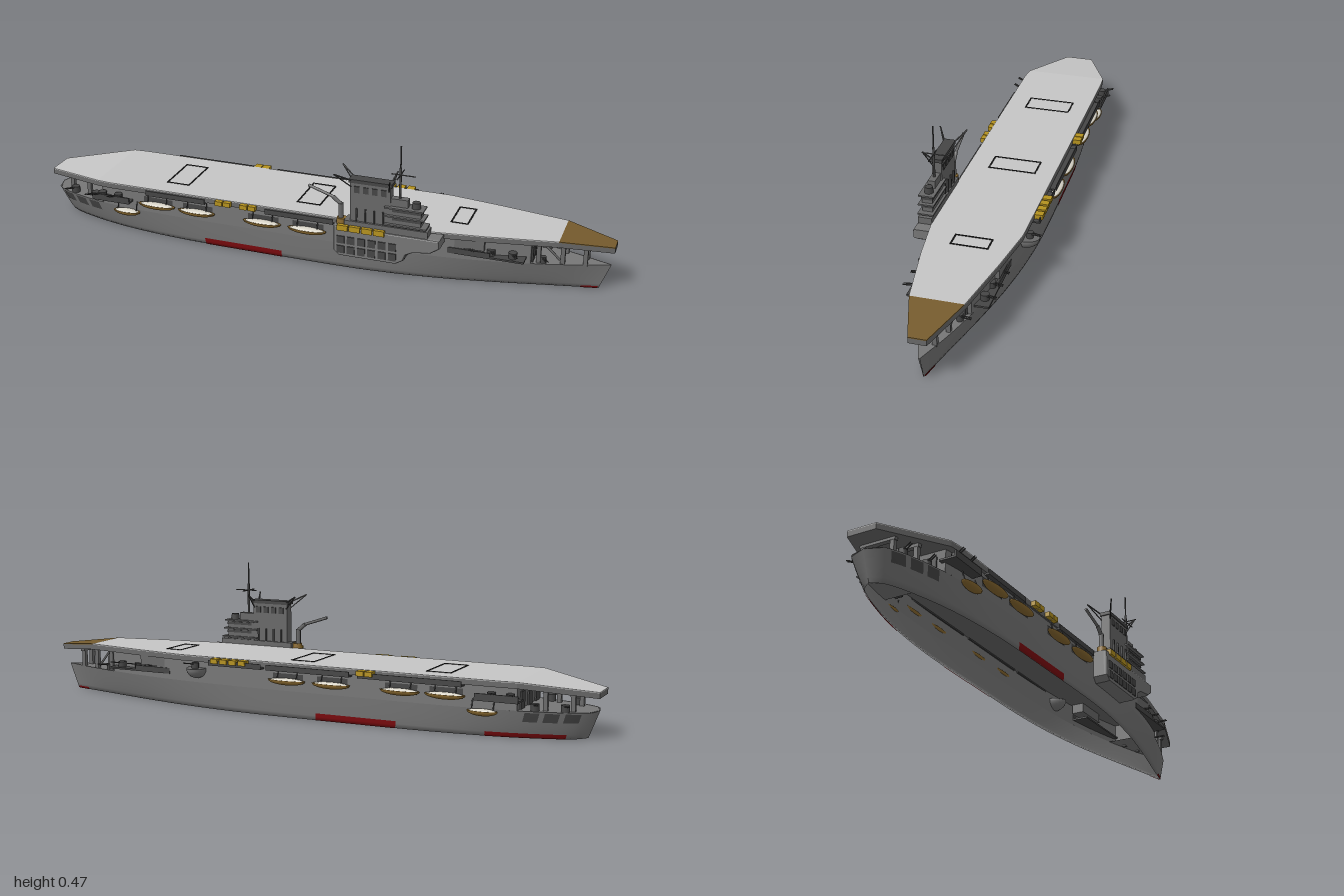
import * as THREE from 'three';
import { ParametricGeometry } from 'three/addons/geometries/ParametricGeometry.js';

const mat = (name, color, side = THREE.FrontSide) => {
  const m = new THREE.MeshStandardMaterial({ color, side });
  m.name = name;
  return m;
};
const M = {
  hull: mat('hull grey', 0x767676, THREE.DoubleSide),
  house: mat('structure grey', 0x686868),
  dark: mat('dark fittings', 0x454545),
  deck: mat('deck grey', 0xc6c6c6),
  bow: mat('bow brown', 0x755b2d),
  line: mat('line black', 0x141414),
  red: mat('dark red', 0x7d0a0e, THREE.DoubleSide),
  yellow: mat('raft yellow', 0xb5921f),
  boat: mat('boat tan', 0x8a6a30),
  white: mat('boat cover', 0xd8d4c8),
};
const CZ = -0.014, SHELF = 0.09, ROOF = 0.17;

// Hull stations: x, half width at waterline, half width at shelf height
const stations = new THREE.CatmullRomCurve3([
  [-0.99, 0, 0.0], [-0.98, 0.02, 0.045], [-0.94, 0.045, 0.072], [-0.86, 0.072, 0.1], [-0.72, 0.104, 0.128],
  [-0.5, 0.128, 0.142], [-0.2, 0.135, 0.144], [0.2, 0.134, 0.144], [0.45, 0.11, 0.13],
  [0.65, 0.074, 0.1], [0.85, 0.03, 0.05], [0.99, 0, 0.002],
].map(p => new THREE.Vector3(...p))).getPoints(120);

function hullPoint(x, y, side, out, target) {
  let i = 1;
  while (i < stations.length - 1 && stations[i].x < x) i++;
  const a = stations[i - 1], b = stations[i];
  const k = THREE.MathUtils.clamp((x - a.x) / (b.x - a.x), 0, 1), t = Math.min(1, y / SHELF);
  const w = THREE.MathUtils.lerp(a.y + (b.y - a.y) * k, a.z + (b.z - a.z) * k, Math.pow(t, 0.7));
  return target.set(x * (0.965 + 0.035 * t), y, CZ + side * (Math.max(0, w) + out));
}

// Closed loft through equal cross-sections along x
function loft(sections) {
  const pos = [], n = sections[0].length, last = sections.length - 1;
  const tri = (...p) => p.forEach(q => pos.push(...q));
  for (let i = 0; i < last; i++) for (let k = 0; k < n; k++) {
    const a = sections[i][k], b = sections[i][(k + 1) % n], c = sections[i + 1][(k + 1) % n], d = sections[i + 1][k];
    tri(a, b, c); tri(a, c, d);
  }
  for (let k = 1; k < n - 1; k++) {
    tri(sections[last][0], sections[last][k], sections[last][k + 1]);
    tri(sections[0][0], sections[0][k + 1], sections[0][k]);
  }
  const g = new THREE.BufferGeometry();
  g.setAttribute('position', new THREE.Float32BufferAttribute(pos, 3));
  g.computeVertexNormals();
  return g;
}

export function createModel() {
  const root = new THREE.Group();
  root.name = 'aircraftCarrier';
  const add = (name, geo, m, parent = root) => {
    const mesh = new THREE.Mesh(geo, m);
    mesh.name = name;
    parent.add(mesh);
    return mesh;
  };
  // Box given by its limits
  const box = (name, m, x0, x1, y0, y1, z0, z1) => {
    const b = add(name, new THREE.BoxGeometry(x1 - x0, y1 - y0, z1 - z0), m);
    b.position.set((x0 + x1) / 2, (y0 + y1) / 2, (z0 + z1) / 2);
    return b;
  };
  // Round bar between two points
  const bar = (name, m, a, b, r) => {
    const p = new THREE.Vector3(...a), q = new THREE.Vector3(...b), d = q.clone().sub(p);
    const c = add(name, new THREE.CylinderGeometry(r, r, d.length(), 8), m);
    c.position.copy(p).add(q).multiplyScalar(0.5);
    c.quaternion.setFromUnitVectors(new THREE.Vector3(0, 1, 0), d.normalize());
  };
  const skin = (name, m, x0, x1, y0, y1, s, out = 0, nx = 90, ny = 6) => add(name, new ParametricGeometry(
    (u, v, t) => hullPoint(x0 + (x1 - x0) * (s > 0 ? u : 1 - u), y0 + (y1 - y0) * v, s, out, t), nx, ny), m);

  // Hull sides, open at the waterline, with the high middle part up to the flight deck
  for (const s of [1, -1]) {
    skin('hullSide', M.hull, -0.99, 0.99, 0, SHELF, s);
    skin('upperHullSide', M.hull, -0.76, 0.74, SHELF, ROOF, s, 0, 60, 1);
    skin('redHullPatch', M.red, -0.38, -0.09, 0, 0.024, s, 0.002, 12, 2);
    skin('redBowPatch', M.red, 0.93, 0.985, 0, 0.008, s, 0.002, 6, 1);
  }
  skin('redSternPatch', M.red, -0.93, -0.68, 0, 0.016, -1, 0.002, 12, 2);
  const p = new THREE.Vector3();
  for (const [x0, x1] of [[-0.99, -0.7], [0.7, 0.99]]) {
    add('shelfDeck', new ParametricGeometry((u, v, t) => hullPoint(x0 + (x1 - x0) * u, SHELF - 0.001, 1 - 2 * v, 0, t), 24, 6), M.hull);
  }
  for (const x of [-0.76, 0.74]) {
    hullPoint(x, SHELF, 1, 0, p);
    const w = p.z - CZ;
    box('endWall', M.house, x - 0.004, x + 0.004, SHELF, ROOF, CZ - w, CZ + w);
    const e = x + Math.sign(x) * 0.006;
    for (const f of [-0.62, 0, 0.62]) box('wallDoor', M.dark, e - 0.003, e + 0.003, SHELF, 0.145, CZ + w * f - 0.018, CZ + w * f + 0.018);
  }

  // Flight deck: x, right edge, left edge, height
  const deck = [
    [-1, -0.065, 0.033, 0.155], [-0.77, -0.16, 0.13, 0.183], [-0.72, -0.163, 0.135, 0.183], [0.42, -0.163, 0.135, 0.183],
    [0.6, -0.138, 0.11, 0.183], [0.83, -0.1, 0.068, 0.183], [1, -0.042, 0.014, 0.165],
  ];
  const slab = (list, top, bottom) => loft(list.map(([x, a, b, y]) =>
    [[x, y - top, a], [x, y - top, b], [x, y - bottom, b], [x, y - bottom, a]]));
  add('flightDeckBody', slab(deck, 0.003, 0.02), M.house);
  add('flightDeckTop', slab(deck.slice(0, 6), 0, 0.003), M.deck);
  add('bowDeckTop', slab(deck.slice(5), 0, 0.003), M.bow);

  // Lift outlines
  for (const [x0, x1, z0, z1] of [[-0.535, -0.45, -0.1, 0.065], [-0.055, 0.03, -0.1, 0.065], [0.47, 0.53, -0.082, 0.042]]) {
    const y = 0.1825, h = 0.1845, w = 0.005;
    for (const z of [z0, z1 - w]) box('liftLine', M.line, x0, x1, y, h, z, z + w);
    for (const x of [x0, x1 - w]) box('liftLine', M.line, x, x + w, y, h, z0, z1);
  }

  // Pillars carrying the deck ends
  for (const s of [1, -1]) {
    for (const [x, w, top] of [[0.765, 0.058, 0.166], [0.84, 0.04, 0.165], [0.91, 0.022, 0.158], [-0.84, 0.075, 0.157], [-0.92, 0.05, 0.148]])
      box('deckPillar', M.house, x - 0.007, x + 0.007, SHELF - 0.005, top, CZ + s * w - 0.007, CZ + s * w + 0.007);
    bar('bowBrace', M.house, [0.83, 0.1, CZ + s * 0.04], [0.77, 0.165, CZ + s * 0.055], 0.004);
  }
  for (const [x, w, y] of [[0.84, 0.05, 0.16], [0.91, 0.035, 0.152], [-0.84, 0.085, 0.152], [-0.92, 0.06, 0.143]])
    box('deckBeam', M.house, x - 0.008, x + 0.008, y - 0.008, y + 0.008, CZ - w, CZ + w);

  // Gun with round shield and barrel pointing outboard
  const gun = (x, y, w, s, r = 0.014) => {
    const z = CZ + s * w;
    add('gunMount', new THREE.CylinderGeometry(r, r, 0.022, 12), M.dark).position.set(x, y, z);
    for (const d of [-0.004, 0.004])
      bar('gunBarrel', M.dark, [x + d, y + 0.005, z], [x + d + Math.sign(x) * 0.018, y + 0.013, z + s * 0.04], 0.002);
  };

  for (const s of [1, -1]) {
    const side = (name, m, x0, x1, y0, y1, w0, w1) =>
      box(name, m, x0, x1, y0, y1, Math.min(CZ + s * w0, CZ + s * w1), Math.max(CZ + s * w0, CZ + s * w1));
    // Gun galleries fore and aft
    side('aftGallery', M.dark, -0.78, -0.64, 0.12, 0.126, 0.11, 0.168);
    side('aftGalleryRail', M.dark, -0.78, -0.64, 0.126, 0.143, 0.163, 0.168);
    side('foreGallery', M.dark, 0.48, 0.73, 0.108, 0.114, 0.07, 0.128);
    side('foreGalleryRail', M.dark, 0.48, 0.62, 0.114, 0.128, 0.124, 0.128);
    side('foreHouse', M.house, 0.47, 0.6, 0.13, 0.166, 0.08, 0.124);
    for (const x of [-0.75, -0.69]) gun(x, 0.135, 0.148, s);
    for (const x of [0.55, 0.62, 0.69]) gun(x, 0.122, 0.105, s);
    gun(-0.9, 0.1, 0.07, s);
    gun(-0.81, 0.1, 0.09, s);
    gun(0.78, 0.1, 0.055, s, 0.01);
    // Stern side openings
    for (const x of [-0.93, -0.87, -0.81]) skin('sternOpening', M.dark, x - 0.022, x + 0.022, 0.055, 0.085, s, 0.002, 4, 2);

    // Walkways under the deck edge
    const walks = s > 0 ? [[-0.58, -0.36], [-0.14, 0.1]] : [[-0.6, -0.25], [-0.22, 0.08], [0.1, 0.3]];
    for (const [x0, x1] of walks) {
      side('walkway', M.dark, x0, x1, 0.158, 0.163, 0.14, s > 0 ? 0.156 : 0.172);
      side('walkwayRail', M.dark, x0, x1, 0.163, 0.176, s > 0 ? 0.153 : 0.169, s > 0 ? 0.156 : 0.172);
    }
    // Ship's boats in dark recesses
    for (const [x, y, len] of [[-0.54, 0.128, 0.068], [-0.39, 0.128, 0.068], [-0.15, 0.128, 0.068], [0.01, 0.128, 0.068], [-0.66, 0.085, 0.05]]) {
      hullPoint(x, y, s, 0, p);
      if (y > 0.1) skin('boatRecess', M.dark, x - 0.055, x + 0.055, y - 0.012, y + 0.02, s, 0.002, 6, 1);
      const boat = new THREE.Group();
      boat.name = 'boat';
      boat.position.set(x, y, p.z + s * 0.014);
      boat.scale.set(len, 0.016, 0.018);
      add('boatHull', new THREE.SphereGeometry(1, 20, 8, 0, Math.PI * 2, Math.PI / 2, Math.PI / 2), M.boat, boat);
      add('boatCover', new THREE.SphereGeometry(0.88, 20, 6, 0, Math.PI * 2, 0, Math.PI / 2), M.white, boat).scale.y = 0.5;
      const rim = add('boatRim', new THREE.TorusGeometry(0.94, 0.07, 6, 24), M.boat, boat);
      rim.rotation.x = Math.PI / 2;
      root.add(boat);
      for (const d of [-0.035, 0.035]) bar('boatDavit', M.dark, [x + d, y, p.z + s * 0.014], [x + d, y + 0.036, p.z + s * 0.002], 0.002);
    }
    // Raft stacks
    const rafts = s > 0 ? [-0.305, -0.275, -0.215, -0.185] : [-0.29, -0.26, 0.17, 0.205, 0.24, 0.275];
    for (const x of rafts) side('raft', M.yellow, x - 0.013, x + 0.013, 0.166, 0.182, 0.15, s > 0 ? 0.166 : 0.178);
  }

  // Round platform on the right side
  const bowl = add('roundPlatform', new THREE.SphereGeometry(1, 20, 8, 0, Math.PI * 2, Math.PI / 2, Math.PI / 2), M.hull);
  bowl.scale.set(0.034, 0.034, 0.046);
  bowl.position.set(0.36, 0.14, -0.155);
  const lid = add('platformFloor', new THREE.CylinderGeometry(1, 1, 0.003, 20), M.house);
  lid.scale.set(0.034, 1, 0.046);
  lid.position.copy(bowl.position);
  gun(0.36, 0.15, 0.155, -1, 0.012);

  // Sponson under the island
  const shape = new THREE.Shape([[0.12, 0.09], [0.135, 0.076], [0.325, 0.076], [0.348, 0.09], [0.356, 0.112], [0.38, 0.124],
    [0.44, 0.133], [0.465, 0.15], [0.465, 0.172], [0.12, 0.172]].map(q => new THREE.Vector2(...q)));
  add('islandSponson', new THREE.ExtrudeGeometry(shape, { depth: 0.082, bevelSize: 0.006, bevelThickness: 0.012, bevelSegments: 3 }), M.hull).position.z = 0.088;
  for (let i = 0; i < 6; i++) for (const y of [0.083, 0.118])
    box('sponsonVent', M.dark, 0.128 + i * 0.035, 0.154 + i * 0.035, y, y + 0.026, 0.18, 0.185);
  for (let i = 0; i < 4; i++) box('sponsonRaft', M.yellow, 0.13 + i * 0.041, 0.166 + i * 0.041, 0.166, 0.185, 0.176, 0.19);

  // Island: funnel block and bridge
  box('islandBase', M.house, 0.15, 0.43, 0.17, 0.2, 0.132, 0.178);
  box('funnel', M.house, 0.168, 0.303, 0.2, 0.335, 0.138, 0.17);
  box('funnelCap', M.dark, 0.163, 0.308, 0.333, 0.345, 0.135, 0.173);
  for (let i = 0; i < 4; i++) for (const z of [0.137, 0.171]) {
    box('funnelVent', M.dark, 0.182 + i * 0.03, 0.2 + i * 0.03, 0.3, 0.322, z - 0.002, z + 0.002);
    box('funnelPipe', M.dark, 0.188 + i * 0.03, 0.193 + i * 0.03, 0.2, 0.245, z - 0.004, z + 0.004);
  }
  box('bridge', M.house, 0.3, 0.405, 0.2, 0.262, 0.137, 0.171);
  box('bridgeTop', M.house, 0.303, 0.36, 0.262, 0.295, 0.142, 0.166);
  for (const [x1, y] of [[0.425, 0.205], [0.418, 0.235], [0.414, 0.264]]) {
    box('bridgeLedge', M.house, 0.285, x1, y, y + 0.005, 0.129, 0.181);
    box('bridgeWindows', M.dark, 0.31, 0.407, y - 0.012, y - 0.003, 0.135, 0.173);
  }
  add('director', new THREE.CylinderGeometry(0.013, 0.015, 0.02, 12), M.dark).position.set(0.385, 0.279, 0.154);

  // Mast, yard and funnel struts
  bar('mast', M.dark, [0.33, 0.2, 0.154], [0.33, 0.4, 0.154], 0.004);
  bar('topMast', M.dark, [0.33, 0.4, 0.154], [0.33, 0.474, 0.154], 0.0025);
  bar('yard', M.dark, [0.33, 0.376, 0.113], [0.33, 0.376, 0.193], 0.002);
  bar('yardCross', M.dark, [0.3, 0.376, 0.154], [0.38, 0.376, 0.154], 0.002);
  for (const s of [1, -1]) for (const [x, e] of [[0.172, 0.122], [0.298, 0.308]]) {
    bar('strut', M.dark, [x, 0.34, 0.154 + s * 0.016], [e, 0.366, 0.154 + s * 0.046], 0.0025);
    bar('strutBrace', M.dark, [x, 0.318, 0.154 + s * 0.016], [e, 0.366, 0.154 + s * 0.046], 0.002);
  }

  // Crane aft of the island
  add('craneBase', new THREE.CylinderGeometry(0.016, 0.018, 0.02, 14), M.boat).position.set(0.135, 0.188, 0.154);
  bar('cranePost', M.house, [0.132, 0.18, 0.154], [0.132, 0.248, 0.154], 0.009);
  bar('craneElbow', M.house, [0.132, 0.244, 0.154], [0.105, 0.267, 0.154], 0.007);
  bar('craneJib', M.house, [0.11, 0.265, 0.154], [0.02, 0.295, 0.154], 0.005);
  return root;
}
